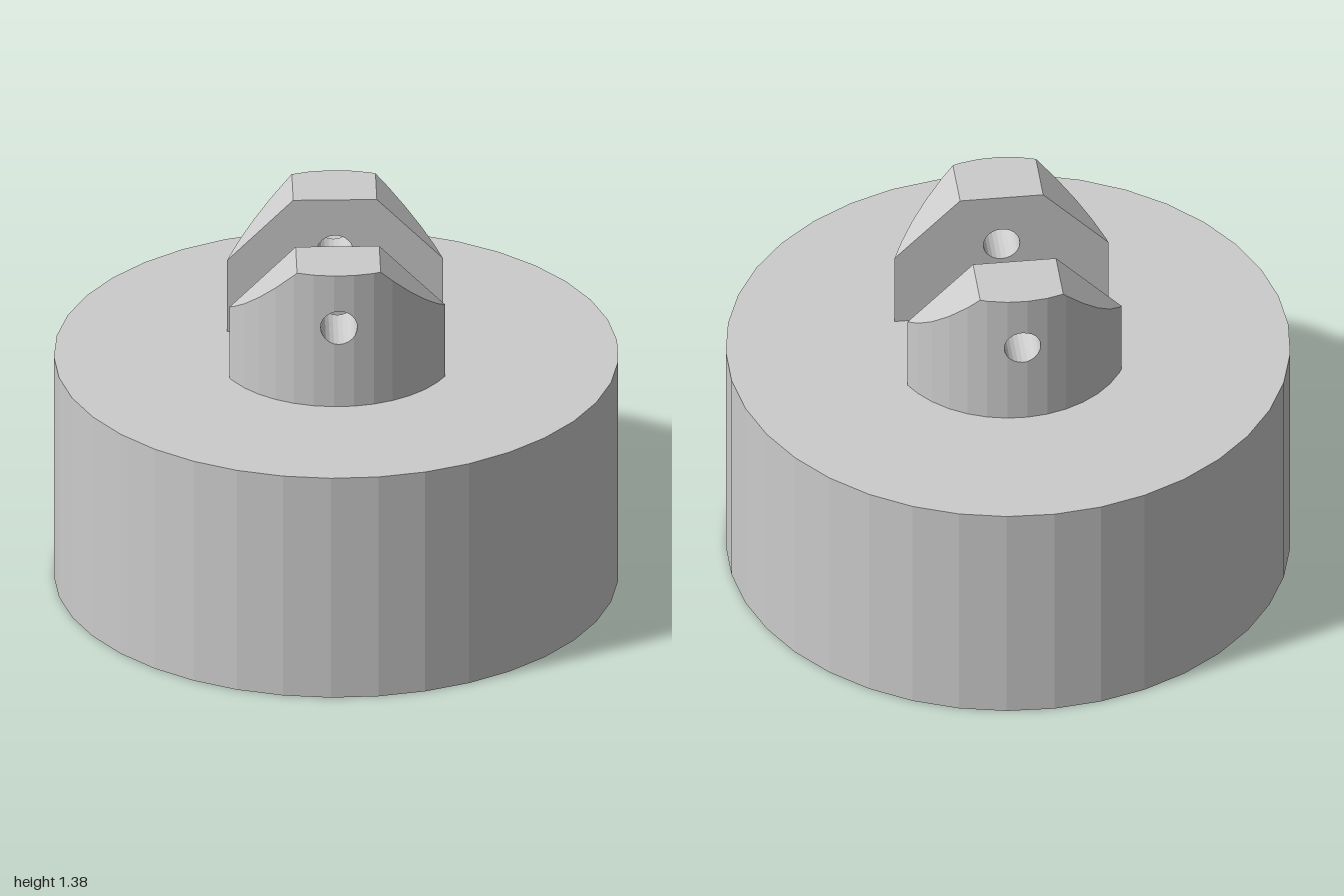
import * as THREE from 'three';

const SIDES = 37, DECK = 0.865, TOP = 1.38;
const EAR_R = 0.425, EAR_INNER = 0.187, EAR_HALF = Math.sqrt(EAR_R ** 2 - EAR_INNER ** 2);
const FLAT_HALF = 0.148, HOLE_Y = 1.175, HOLE_R = 0.065, HOLE_SIDES = 24;

// x positions of the facet edges on the ears' rounded outer wall
const facetX = [];
for (let k = 0; k <= SIDES / 2; k++) facetX.push(-EAR_R * Math.cos((k * 2 * Math.PI) / SIDES));
facetX.push(EAR_R);
const inside = facetX.filter((x) => Math.abs(x) < EAR_HALF - 0.005);
const wallX = [-EAR_HALF, ...inside, EAR_HALF];

// Depth of the faceted outer wall at x
function outerZ(x) {
  let i = 1;
  while (i < wallX.length - 1 && wallX[i] < x) i++;
  const a = wallX[i - 1], b = wallX[i];
  const arc = (v) => Math.sqrt(EAR_R ** 2 - v * v);
  return THREE.MathUtils.mapLinear(x, a, b, arc(a), arc(b));
}

// Flat top with 45 degree chamfers
const topY = (x) => TOP - Math.max(0, Math.abs(x) - FLAT_HALF);
const holeH = (x) => Math.sqrt(Math.max(0, HOLE_R ** 2 - x * x));

// One ear, built as vertical slices; side is +1 (front) or -1 (back)
function earGeometry(side) {
  const cuts = [...wallX, -FLAT_HALF, FLAT_HALF];
  for (let k = 0; k <= HOLE_SIDES / 2; k++) {
    cuts.push(-HOLE_R * Math.cos((k * 2 * Math.PI) / HOLE_SIDES));
  }
  cuts.sort((a, b) => a - b);
  const xs = cuts.filter((x, i) => i === 0 || x - cuts[i - 1] > 1e-6);

  const pos = [];
  const quad = (a, b, c, d) => {
    const order = side > 0 ? [a, b, c, a, c, d] : [a, c, b, a, d, c];
    for (const [x, y, z] of order) pos.push(x, y, z * side);
  };
  // Slice between two x values, from a lower to an upper edge
  const slice = (x0, x1, low, high, floor) => {
    const z0 = outerZ(x0), z1 = outerZ(x1), zi = EAR_INNER;
    const l0 = low(x0), l1 = low(x1), h0 = high(x0), h1 = high(x1);
    quad([x0, l0, z0], [x1, l1, z1], [x1, h1, z1], [x0, h0, z0]);
    quad([x1, l1, zi], [x0, l0, zi], [x0, h0, zi], [x1, h1, zi]);
    quad([x0, h0, z0], [x1, h1, z1], [x1, h1, zi], [x0, h0, zi]);
    if (floor) quad([x0, l0, zi], [x1, l1, zi], [x1, l1, z1], [x0, l0, z0]);
  };
  for (let i = 0; i < xs.length - 1; i++) {
    const x0 = xs[i], x1 = xs[i + 1];
    if (Math.abs((x0 + x1) / 2) < HOLE_R) {
      slice(x0, x1, () => DECK, (x) => HOLE_Y - holeH(x), false);
      slice(x0, x1, (x) => HOLE_Y + holeH(x), topY, true);
    } else {
      slice(x0, x1, () => DECK, topY, false);
    }
  }
  const geo = new THREE.BufferGeometry();
  geo.setAttribute('position', new THREE.Float32BufferAttribute(pos, 3));
  geo.computeVertexNormals();
  return geo;
}

export function createModel() {
  const model = new THREE.Group();
  model.name = 'clevisMount';
  const material = new THREE.MeshStandardMaterial({ color: 0xcccccc, flatShading: true });

  // Heavy round base, with a facet edge at -x
  const base = new THREE.Mesh(
    new THREE.CylinderGeometry(1, 1, DECK, SIDES, 1, false, -Math.PI / 2), material);
  base.name = 'base';
  base.position.y = DECK / 2;
  model.add(base);

  // Pair of drilled ears
  for (const side of [1, -1]) {
    const ear = new THREE.Mesh(earGeometry(side), material);
    ear.name = side > 0 ? 'frontEar' : 'backEar';
    model.add(ear);
  }
  return model;
}
